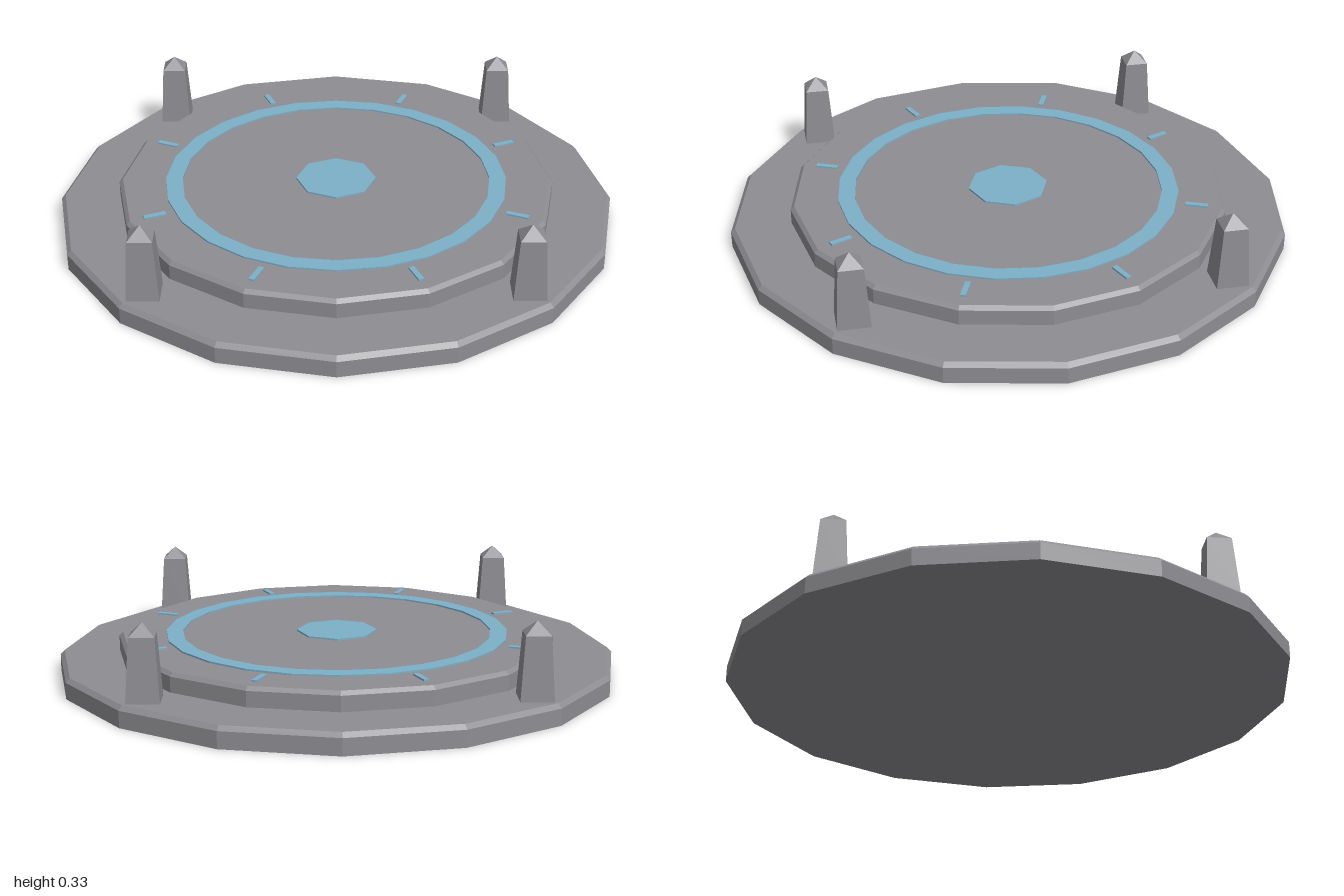
import * as THREE from 'three';

// Faceted solid of revolution from a bottom-to-top [radius, height] profile
function facetedLathe(profile, sides, turn = 0) {
  const points = profile.map(([r, y]) => new THREE.Vector2(r, y));
  const geometry = new THREE.LatheGeometry(points, sides).rotateY(turn).toNonIndexed();
  geometry.computeVertexNormals();
  return geometry;
}

export function createModel() {
  const stone = new THREE.MeshStandardMaterial({ color: 0x8e8d92 });
  stone.name = 'grey stone';
  const glow = new THREE.MeshStandardMaterial({ color: 0x7cb0c8 });
  glow.name = 'pale blue inlay';

  const model = new THREE.Group();
  model.name = 'platform';
  const add = (name, geometry, material) => {
    const mesh = new THREE.Mesh(geometry, material);
    mesh.name = name;
    model.add(mesh);
    return mesh;
  };

  // Two stacked sixteen-sided tiers with bevelled rims
  const tier = (radius, bottom, top, bevel) => facetedLathe([
    [0, bottom], [radius, bottom], [radius, top - bevel], [radius - bevel, top], [0, top],
  ], 16);
  add('lowerTier', tier(1, 0, 0.073, 0.015), stone);
  add('upperTier', tier(0.785, 0.06, 0.14, 0.013), stone);

  // Raised inlays on the upper tier
  const low = 0.138, high = 0.146;
  add('inlayRing', facetedLathe([
    [0.555, low], [0.615, low], [0.615, high], [0.555, high], [0.555, low],
  ], 24), glow);
  add('centreInlay', facetedLathe([[0, low], [0.144, low], [0.144, high], [0, high]], 8), glow);

  // Eight radial marks outside the ring
  for (let i = 0; i < 8; i++) {
    const angle = (i + 0.5) * Math.PI / 4;
    const mark = add('radialMark', new THREE.BoxGeometry(0.02, high - low, 0.08), glow);
    mark.position.set(Math.sin(angle) * 0.683, (low + high) / 2, Math.cos(angle) * 0.683);
    mark.rotation.y = angle;
  }

  // Four tapered square posts with pyramid caps
  const post = facetedLathe([
    [0, 0.06], [0.056 * Math.SQRT2, 0.07], [0.042 * Math.SQRT2, 0.288], [0, 0.33],
  ], 4, Math.PI / 4);
  for (const x of [-0.632, 0.632]) {
    for (const z of [-0.632, 0.632]) add('cornerPost', post, stone).position.set(x, 0, z);
  }
  return model;
}
